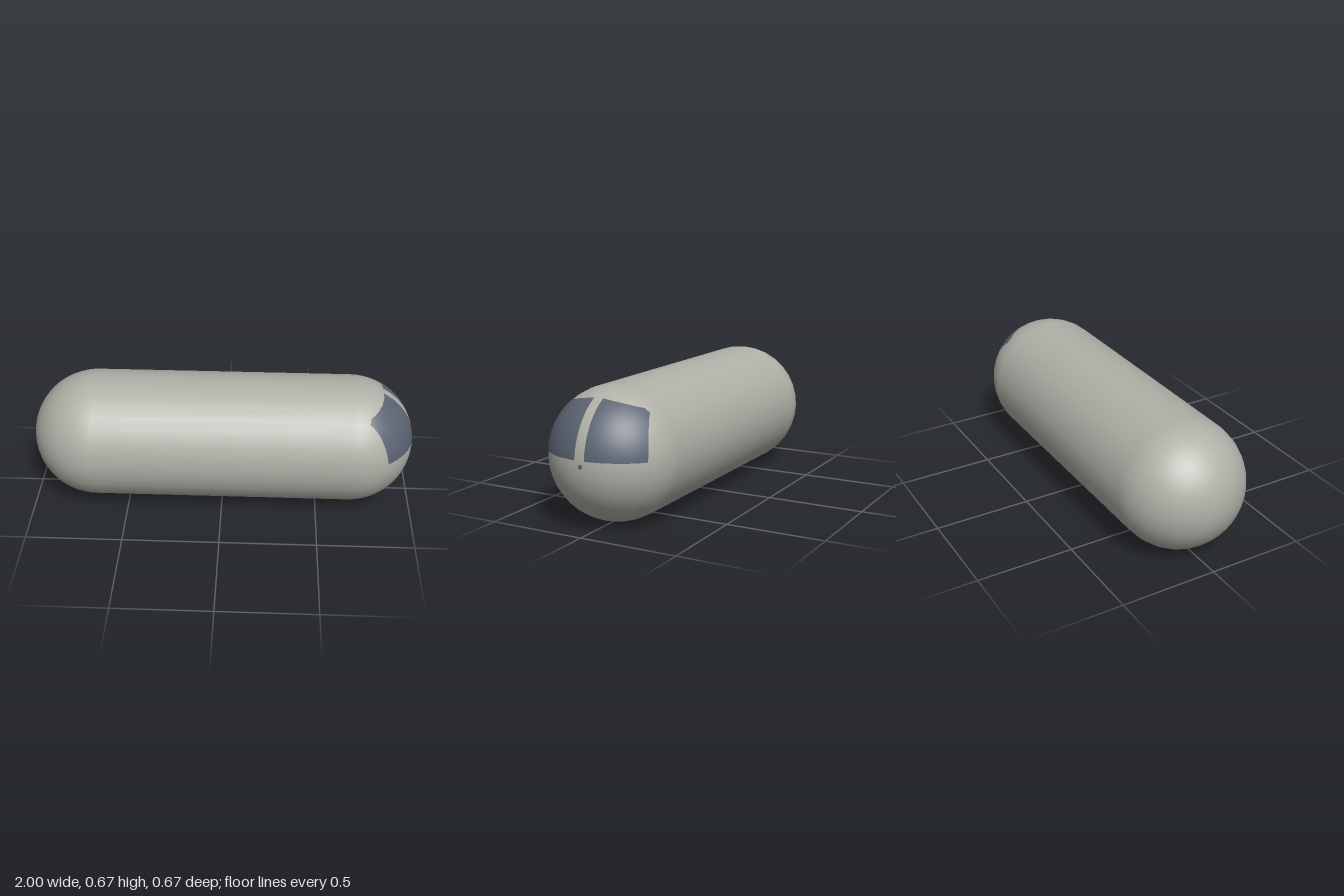
import * as THREE from 'three';

const R = 1 / 3;          // hull radius
const CAP_X = 2 / 3;      // centre of the front dome
const SKIN = R + 0.0012;  // painted panes sit just above the hull

const hullGrey = new THREE.MeshStandardMaterial({ name: 'hullGrey', color: 0xb0b0a8 });
const glassBlue = new THREE.MeshStandardMaterial({ name: 'glassBlue', color: 0x5b6372 });

// height of a polyline of [z, y] points at a given z
function heightAt(points, z) {
  for (let i = 1; i < points.length; i++) {
    const [z0, y0] = points[i - 1], [z1, y1] = points[i];
    if (z <= z1 || i === points.length - 1) return y0 + (y1 - y0) * (z - z0) / (z1 - z0);
  }
}

// upper edge of a pane, from the centre post outwards
const topEdge = [[0.024, 0.625], [0.09, 0.615], [0.14, 0.604], [0.2, 0.585], [0.227, 0.563]];

// curved pane lying on the front dome; side is +1 or -1 along z
function windowPane(side) {
  const nu = 24, nv = 20, pos = [], nor = [], index = [];
  for (let j = 0; j <= nv; j++) {
    for (let i = 0; i <= nu; i++) {
      const u = i / nu, v = j / nv;
      const zTop = 0.024 + u * 0.203, zBottom = 0.026 + u * 0.249;
      const yTop = heightAt(topEdge, zTop), yBottom = 0.365 - 0.006 * u * u;
      const z = side * (zBottom + (zTop - zBottom) * v + 0.05 * u * v * (1 - v));
      const y = yBottom + (yTop - yBottom) * v - R;
      const n = new THREE.Vector3(Math.sqrt(Math.max(0, R * R - y * y - z * z)), y, z).normalize();
      pos.push(CAP_X + n.x * SKIN, R + n.y * SKIN, n.z * SKIN);
      nor.push(n.x, n.y, n.z);
      if (i < nu && j < nv) {
        const a = j * (nu + 1) + i, b = a + 1, c = a + nu + 1, d = c + 1;
        if (side > 0) index.push(a, c, b, b, c, d);
        else index.push(a, b, c, b, d, c);
      }
    }
  }
  const g = new THREE.BufferGeometry();
  g.setAttribute('position', new THREE.Float32BufferAttribute(pos, 3));
  g.setAttribute('normal', new THREE.Float32BufferAttribute(nor, 3));
  g.setIndex(index);
  return g;
}

export function createModel() {
  const model = new THREE.Group();
  model.name = 'capsuleCar';
  const add = (name, geometry, material) => {
    const mesh = new THREE.Mesh(geometry, material);
    mesh.name = name;
    model.add(mesh);
    return mesh;
  };

  // lying capsule hull
  const hull = new THREE.CapsuleGeometry(R, 4 / 3, 16, 32);
  hull.rotateZ(-Math.PI / 2);
  add('hull', hull, hullGrey).position.y = R;

  // two windscreen panes either side of the centre post
  add('windowPaneLeft', windowPane(-1), glassBlue);
  add('windowPaneRight', windowPane(1), glassBlue);

  // small spot on the tip of the nose
  const spot = new THREE.CircleGeometry(0.011, 16);
  spot.rotateY(Math.PI / 2);
  add('noseSpot', spot, glassBlue).position.set(1.0005, R + 0.004, -0.006);

  return model;
}
